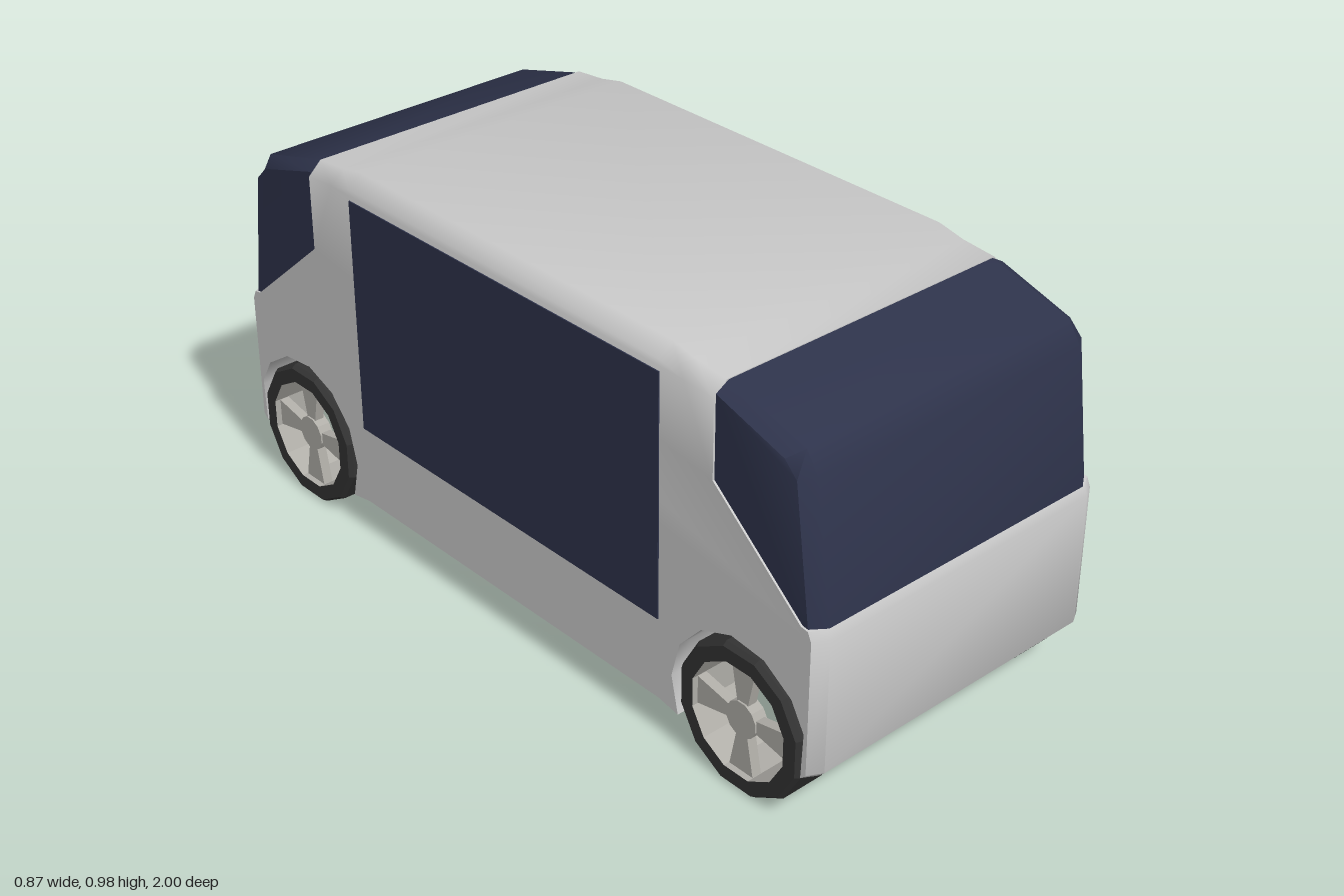
import * as THREE from 'three';
import { toCreasedNormals } from 'three/addons/utils/BufferGeometryUtils.js';

const paint = (color, extra = {}) => new THREE.MeshStandardMaterial({ color, ...extra });
const grey = paint(0xcccccc);
const glass = paint(0x2e334b);
const rubber = paint(0x333333, { flatShading: true, side: THREE.DoubleSide });
const alloy = paint(0xb0aea8, { flatShading: true, side: THREE.DoubleSide });

const AXLE_Z = 0.78, AXLE_Y = 0.18, EDGE = 0.035;

function add(parent, name, geometry, material) {
  const mesh = new THREE.Mesh(geometry, material);
  mesh.name = name;
  parent.add(mesh);
  return mesh;
}

// Extrudes a side profile of [z, y] points across x; inset(z, y) moves the outermost layers inward
function slab(profile, halfWidth, inset) {
  const shape = new THREE.Shape(profile.map(([z, y]) => new THREE.Vector2(z, y)));
  const depth = 2 * (halfWidth - EDGE);
  const geo = new THREE.ExtrudeGeometry(shape, {
    depth, bevelEnabled: true, bevelSegments: 1, bevelSize: 0, bevelThickness: EDGE,
  });
  geo.translate(0, 0, -depth / 2).rotateY(-Math.PI / 2);
  const p = geo.attributes.position;
  for (let i = 0; i < p.count; i++) {
    if (Math.abs(p.getX(i)) < halfWidth - EDGE / 2) continue;
    const [z, y] = inset(p.getZ(i), p.getY(i));
    p.setY(i, y);
    p.setZ(i, z);
  }
  return toCreasedNormals(geo, 0.85);
}

// Front half of the body side, from the roof forward and down around the wheel arch
function bodyProfile() {
  const half = [
    [0.53, 0.98], [0.60, 0.965], [0.69, 0.957], [0.69, 0.735], [0.95, 0.515],
    [0.99, 0.512], [1.0, 0.49], [1.0, 0.155], [0.985, 0.14],
  ];
  for (let i = 0; i <= 8; i++) {
    const a = THREE.MathUtils.degToRad(-11 + (217 * i) / 8);
    half.push([AXLE_Z + 0.208 * Math.cos(a), AXLE_Y + 0.208 * Math.sin(a)]);
  }
  half.push([0.53, 0.1]);
  return [...half, ...half.map(([z, y]) => [-z, y]).reverse()];
}

const bodyInset = (z, y) => [
  Math.abs(z) > 0.98 ? z - Math.sign(z) * 0.02 : z,
  y > 0.9 ? y - 0.033 : y,
];

const glassInset = (z, y) => [
  Math.abs(z) > 0.9 && !(Math.abs(z) < 0.955 && y < 0.6) ? z - Math.sign(z) * 0.025 : z,
  y > 0.88 ? y - 0.02 : y,
];

function createWheel() {
  const wheel = new THREE.Group();
  const h = 0.0685;
  const section = [
    [0.142, -h], [0.178, -h], [0.186, -h + 0.012], [0.186, h - 0.012], [0.178, h], [0.142, h],
  ].map(([r, y]) => new THREE.Vector2(r, y));
  // Lathe axis turned onto x, with a flat of the twelve sides on the ground
  const lay = (g) => g.rotateY(Math.PI / 12).rotateZ(-Math.PI / 2);
  add(wheel, 'tire', lay(new THREE.LatheGeometry(section, 12)), rubber);
  add(wheel, 'rimBarrel', lay(new THREE.CylinderGeometry(0.142, 0.142, 2 * h, 12, 1, true)), alloy);
  add(wheel, 'hub', lay(new THREE.CylinderGeometry(0.045, 0.045, 0.035, 12)), alloy).position.x = 0.04;

  // Four spokes that flare toward the rim
  const shape = new THREE.Shape([
    new THREE.Vector2(-0.015, 0.035), new THREE.Vector2(0.015, 0.035),
    new THREE.Vector2(0.036, 0.14), new THREE.Vector2(-0.036, 0.14),
  ]);
  const spoke = new THREE.ExtrudeGeometry(shape, { depth: 0.025, bevelEnabled: false });
  spoke.rotateY(Math.PI / 2).translate(0.028, 0, 0);
  for (let i = 0; i < 4; i++) {
    add(wheel, 'spoke', spoke, alloy).rotation.x = (i * Math.PI) / 2;
  }
  return wheel;
}

export function createModel() {
  const van = new THREE.Group();
  van.name = 'van';

  add(van, 'body', slab(bodyProfile(), 0.433, bodyInset), grey);

  // Wraparound glass at both ends
  const screen = [
    [0.69, 0.955], [0.69, 0.735], [0.95, 0.515], [0.99, 0.512], [0.945, 0.84], [0.91, 0.895],
  ];
  add(van, 'windshield', slab(screen, 0.428, glassInset), glass);
  const rear = screen.map(([z, y]) => [-z, y]);
  add(van, 'rearWindow', slab(rear, 0.428, glassInset), glass);

  for (const side of [1, -1]) {
    const pane = add(van, side > 0 ? 'leftSideWindow' : 'rightSideWindow',
      new THREE.BoxGeometry(0.012, 0.61, 1.06), glass);
    pane.position.set(side * 0.43, 0.615, 0);

    for (const end of [1, -1]) {
      const wheel = createWheel();
      wheel.name = (end > 0 ? 'front' : 'rear') + (side > 0 ? 'Left' : 'Right') + 'Wheel';
      wheel.position.set(side * 0.3685, AXLE_Y, end * AXLE_Z);
      if (side < 0) wheel.rotation.y = Math.PI;
      van.add(wheel);
    }
  }
  return van;
}
